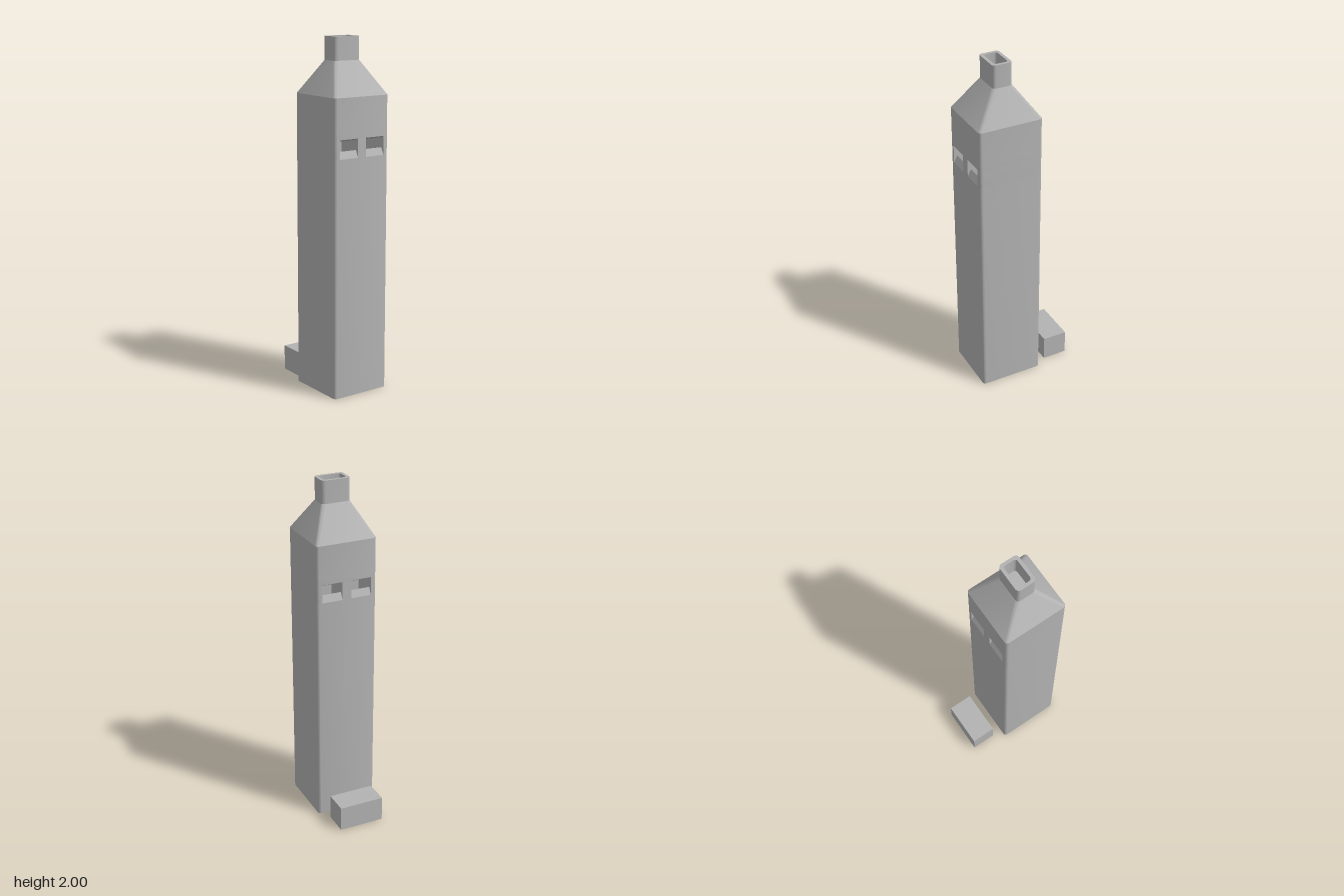
import * as THREE from 'three';
import { toCreasedNormals } from 'three/addons/utils/BufferGeometryUtils.js';

const HW = 0.18, HD = 0.1875;      // half width and half depth of the body
const WALL = 0.02, RIB = 0.01;     // outer wall, half thickness of the cross walls
const WIN_IN = 0.027, WIN_OUT = 0.147, WIN_LOW = 1.355, WIN_TOP = 1.46;
const CREASE = 0.4;

const grey = new THREE.MeshStandardMaterial({ color: 0xb3b3b3 });
grey.name = 'grey plastic';

function part(name, geometry, parent) {
  const mesh = new THREE.Mesh(geometry, grey);
  mesh.name = name;
  parent.add(mesh);
  return mesh;
}

// Rounded corner of the +x +y quadrant, counter-clockwise
function corner(hw, hd, r, steps = 6) {
  return Array.from({ length: steps + 1 }, (_, i) => {
    const a = (i / steps) * Math.PI / 2;
    return new THREE.Vector2(hw - r + r * Math.cos(a), hd - r + r * Math.sin(a));
  });
}

// Mirror one quadrant of an outline into a full closed outline
function mirrorQuadrant(q) {
  const half = [...q, ...q.map(p => new THREE.Vector2(-p.x, p.y)).reverse()];
  return [...half, ...half.map(p => new THREE.Vector2(-p.x, -p.y))];
}

const roundedRect = (hw, hd, r) => mirrorQuadrant(corner(hw, hd, r));

// Upright extrusion of a plan shape between two heights
function upright(shape, y0, y1) {
  const g = new THREE.ExtrudeGeometry(shape, { depth: y1 - y0, bevelEnabled: false });
  g.rotateX(-Math.PI / 2).translate(0, y0, 0);
  return toCreasedNormals(g, CREASE);
}

// Skin through rounded rectangles [y, halfWidth, halfDepth, radius], last one closed
function loft(rings) {
  const pos = [], index = [];
  let n = 0;
  rings.forEach(([y, hw, hd, r]) => {
    const pts = roundedRect(hw, hd, r);
    n = pts.length;
    pts.forEach(p => pos.push(p.x, y, -p.y));
  });
  for (let k = 0; k < rings.length - 1; k++) {
    for (let i = 0; i < n; i++) {
      const a = k * n + i, b = k * n + (i + 1) % n;
      index.push(a, b, b + n, a, b + n, a + n);
    }
  }
  const last = (rings.length - 1) * n;
  for (let i = 1; i < n - 1; i++) index.push(last, last + i, last + i + 1);
  const g = new THREE.BufferGeometry();
  g.setAttribute('position', new THREE.Float32BufferAttribute(pos, 3));
  g.setIndex(index);
  return toCreasedNormals(g, CREASE);
}

// Prism across a window, from a (z, y) profile
function windowPrism(profile) {
  const shape = new THREE.Shape(profile.map(([z, y]) => new THREE.Vector2(z, y)));
  const g = new THREE.ExtrudeGeometry(shape, { depth: WIN_OUT - WIN_IN, bevelEnabled: false });
  return g.rotateY(-Math.PI / 2).translate(WIN_OUT, 0, 0);
}

export function createModel() {
  const model = new THREE.Group();
  model.name = 'fourChamberWhistle';
  const whistle = new THREE.Group();
  whistle.name = 'whistle';
  whistle.position.z = 0.1025;
  model.add(whistle);

  // Long body with four chambers open at the bottom
  const plan = new THREE.Shape(roundedRect(HW, HD, 0.018));
  const cx = HW - WALL, cz = HD - WALL;
  for (const sx of [-1, 1]) for (const sz of [-1, 1]) {
    plan.holes.push(new THREE.Path([[RIB, RIB], [cx, RIB], [cx, cz], [RIB, cz]]
      .map(([x, z]) => new THREE.Vector2(x * sx, z * sz))));
  }
  part('chamberBody', upright(plan, 0, WIN_LOW), whistle);

  // Band where each chamber opens through the wall
  const notch = [[WIN_OUT, HD], [WIN_OUT, cz], [cx, cz], [cx, RIB],
    [RIB, RIB], [RIB, cz], [WIN_IN, cz], [WIN_IN, HD]]
    .map(([x, z]) => new THREE.Vector2(x, z));
  const band = new THREE.Shape(mirrorQuadrant([...corner(HW, HD, 0.018), ...notch]));
  part('windowBand', upright(band, WIN_LOW, WIN_TOP), whistle);

  // Sloped sill and lintel of each window, front and back
  const sill = windowPrism([[HD, WIN_LOW], [cz, WIN_LOW + 0.04], [cz, WIN_LOW]]);
  const lintel = windowPrism([[HD, WIN_TOP], [cz, WIN_TOP], [cz, WIN_TOP - 0.01]]);
  for (const [side, turn] of [['front', 0], ['back', Math.PI]]) {
    const windows = new THREE.Group();
    windows.name = side + 'Windows';
    windows.rotation.y = turn;
    whistle.add(windows);
    for (const x of [0, -WIN_IN - WIN_OUT]) {
      part('windowSill', sill, windows).position.x = x;
      part('windowLintel', lintel, windows).position.x = x;
    }
  }

  // Solid head, tapered shoulders and hollow mouthpiece
  const underside = new THREE.Shape(roundedRect(HW, HD, 0.018));
  part('head', upright(underside, WIN_TOP, 1.5), whistle);
  part('shouldersAndMouthpiece', loft([
    [1.5, HW, HD, 0.018],
    [1.685, HW, HD, 0.018],
    [1.87, 0.085, 0.057, 0.02],
    [2, 0.085, 0.057, 0.02],
    [2, 0.067, 0.039, 0.016],
    [1.87, 0.067, 0.039, 0.016],
  ]), whistle);

  // Separate block behind the whistle
  const block = part('rearBlock', new THREE.BoxGeometry(0.266, 0.146, 0.146), model);
  block.position.set(0, 0.073, -0.218);

  return model;
}
